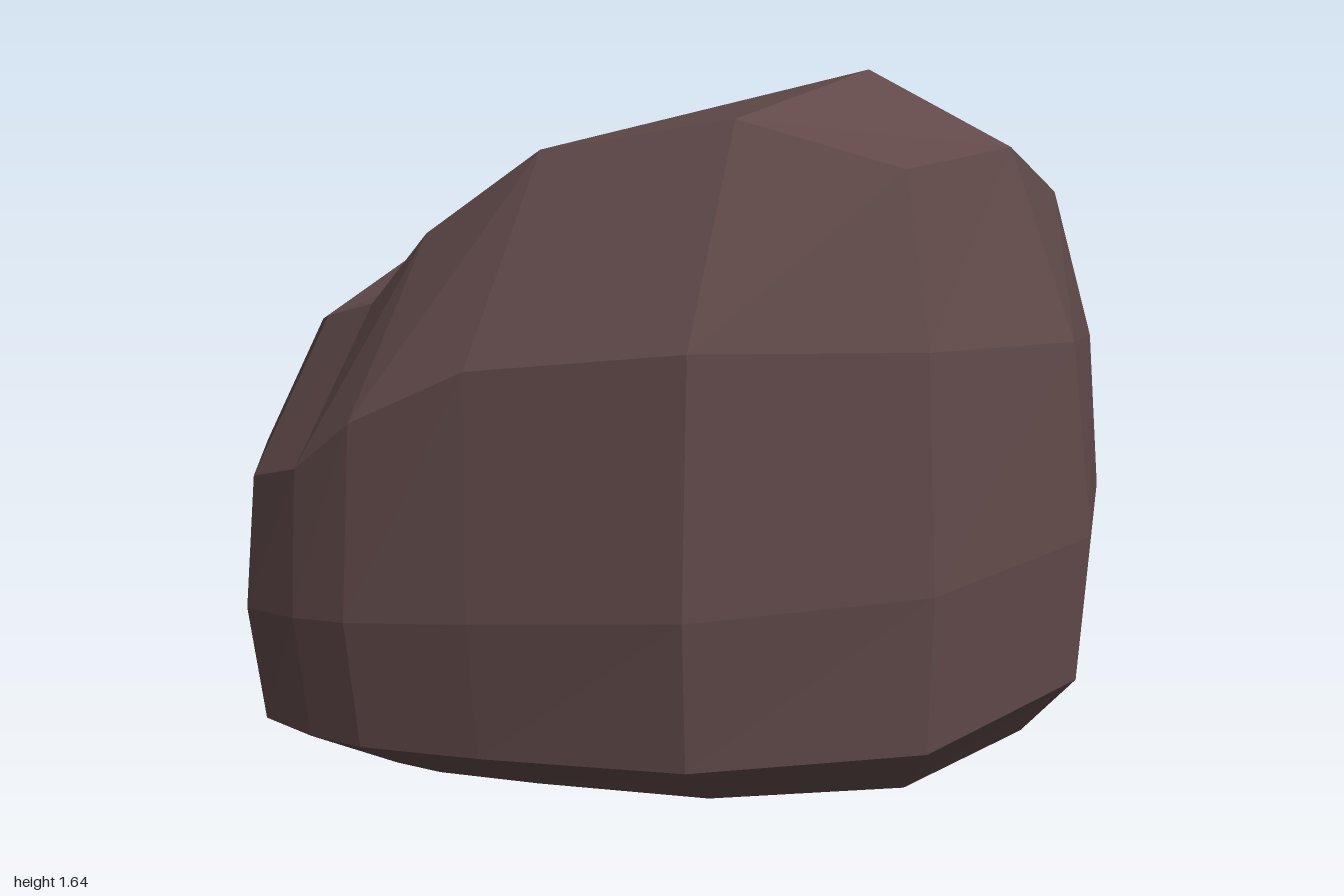
import * as THREE from 'three';

// Columns around the rock, clockwise from above starting at +x:
// waist x,z | shoulder x,y,z | crown edge x,y,z
const COLUMNS = [
  [0.965, -0.05, 0.92, 1.03, -0.02, 0.76, 1.48, 0],
  [0.8, 0.6, 0.77, 1.12, 0.58, 0.68, 1.5, 0.49],
  [0.33, 0.91, 0.33, 1.14, 0.88, 0.34, 1.61, 0.64],
  [-0.16, 0.98, -0.17, 1.07, 0.95, -0.11, 1.52, 0.68],
  [-0.46, 1, -0.45, 0.93, 0.97, -0.4, 1.31, 0.68],
  [-0.61, 0.97, -0.61, 0.8, 0.94, -0.58, 1.12, 0.62],
  [-0.78, 0.89, -0.78, 0.74, 0.84, -0.77, 1.05, 0.5],
  [-0.91, 0.6, -0.92, 0.74, 0.55, -0.88, 1, 0.34],
  [-0.97, -0.06, -0.96, 0.83, -0.12, -0.9, 1.06, -0.12],
  [-0.91, -0.69, -0.9, 0.8, -0.65, -0.86, 1.07, -0.57],
  [-0.77, -0.96, -0.73, 0.85, -0.93, -0.71, 1.13, -0.68],
  [-0.58, -1, -0.5, 0.8, -0.96, -0.45, 1.14, -0.66],
  [-0.1, -1, 0, 0.77, -0.96, 0.03, 1.22, -0.65],
  [0.36, -0.96, 0.42, 0.8, -0.92, 0.44, 1.32, -0.64],
  [0.8, -0.69, 0.78, 0.9, -0.65, 0.72, 1.29, -0.5],
];

// Ridge points across the crown, from the peak down to the saddle
const RIDGE = [[0.41, 1.64, 0], [0.02, 1.48, 0], [-0.3, 1.28, -0.01], [-0.55, 1.15, -0.03]];

export function createModel() {
  const positions = [];
  const tri = (a, b, c) => positions.push(...a, ...b, ...c);

  // Join two strips of points, lower (or nearer) to upper (or farther)
  const strip = (lower, upper) => {
    for (let i = 0; i < lower.length - 1; i++) {
      if (lower[i] !== lower[i + 1]) tri(lower[i + 1], lower[i], upper[i]);
      tri(lower[i + 1], upper[i], upper[i + 1]);
    }
  };
  const close = (ring) => [...ring, ring[0]];

  // Rings from the underside to the crown edge
  const base = [0, 0, 0];
  const crown = COLUMNS.map((c) => c.slice(5));
  const rings = [
    COLUMNS.map(() => base),
    COLUMNS.map(([x, z]) => [x * 0.84, 0.03 + 0.02 * x, z * 0.7]),
    COLUMNS.map(([x, z]) => [x * 0.975, 0.165 + 0.03 * x + 0.015 * z, z * 0.96]),
    COLUMNS.map(([x, z]) => [x, 0.46 + 0.1 * x + 0.06 * z, z]),
    COLUMNS.map((c) => c.slice(2, 5)),
    crown,
  ].map(close);
  for (let r = 0; r < rings.length - 1; r++) strip(rings[r], rings[r + 1]);

  // Crown: front edge to ridge, ridge to back edge
  const ridge = [crown[0], ...RIDGE, crown[8]];
  const back = [14, 13, 12, 11, 10, 9].map((i) => crown[i]);
  strip(crown.slice(1, 6), ridge.slice(0, 5));
  strip(ridge, back);

  // Fan over the low front corner; the front right crown needs no extra faces
  const saddle = RIDGE[3];
  for (let i = 5; i < 8; i++) tri(crown[i + 1], crown[i], saddle);
  const geometry = new THREE.BufferGeometry();
  geometry.setAttribute('position', new THREE.Float32BufferAttribute(positions, 3));
  geometry.computeVertexNormals();

  const rock = new THREE.Mesh(
    geometry,
    new THREE.MeshStandardMaterial({ color: 0x624a4a, flatShading: true }),
  );
  rock.name = 'rock';
  const group = new THREE.Group();
  group.name = 'boulder';
  group.add(rock);
  return group;
}
